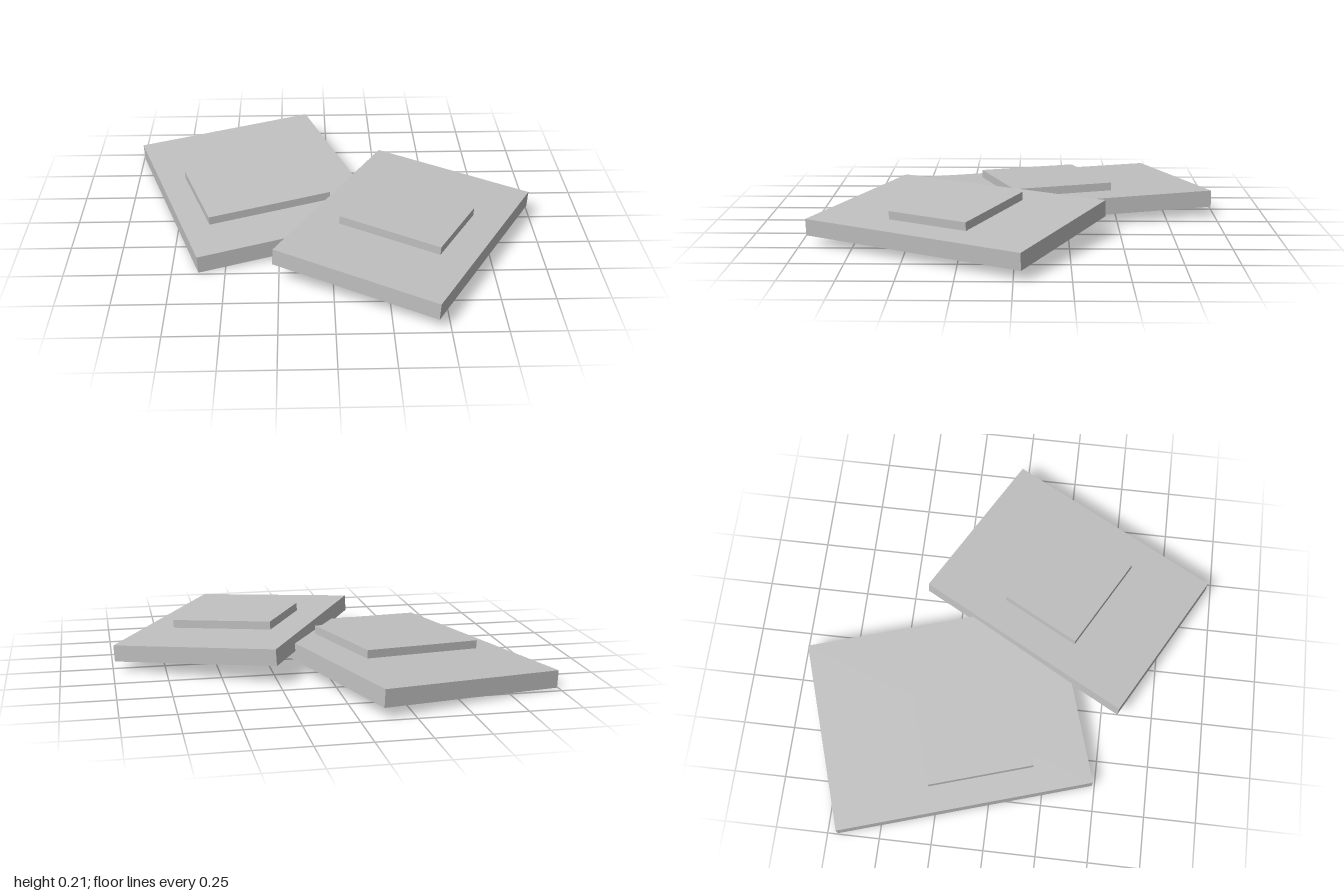
import * as THREE from 'three';

// Two tilted slabs, one resting on the other, each carrying a thin raised plate.
// Each group's origin is the centre of its slab's top face.
const SLABS = [
  {
    name: 'lowerSlab', at: [-0.37, 0.108, -0.245], yaw: 0.303, tilt: 0.053,
    size: [0.933, 0.083, 1.246], plate: [0.617, 0.04, 0.512], offset: [-0.03, 0.1],
  },
  {
    name: 'upperSlab', at: [0.36, 0.15, 0.273], yaw: -0.497, tilt: -0.06,
    size: [0.828, 0.08, 1.14], plate: [0.517, 0.04, 0.414], offset: [0, 0],
  },
];

function box(name, size, x, y, z, material) {
  const mesh = new THREE.Mesh(new THREE.BoxGeometry(...size), material);
  mesh.name = name;
  mesh.position.set(x, y, z);
  return mesh;
}

export function createModel() {
  const model = new THREE.Group();
  model.name = 'stackedSlabs';
  const grey = new THREE.MeshStandardMaterial({ color: 0xc0c0c0 });
  grey.name = 'light grey';

  for (const s of SLABS) {
    const group = new THREE.Group();
    group.name = s.name;
    group.add(
      box('slab', s.size, 0, -s.size[1] / 2, 0, grey),
      box('raisedPlate', s.plate, s.offset[0], s.plate[1] / 2, s.offset[1], grey),
    );
    // Tilt about the slab's long axis first, then turn on the ground
    group.rotation.set(0, s.yaw, s.tilt);
    group.position.set(...s.at);
    model.add(group);
  }
  return model;
}
